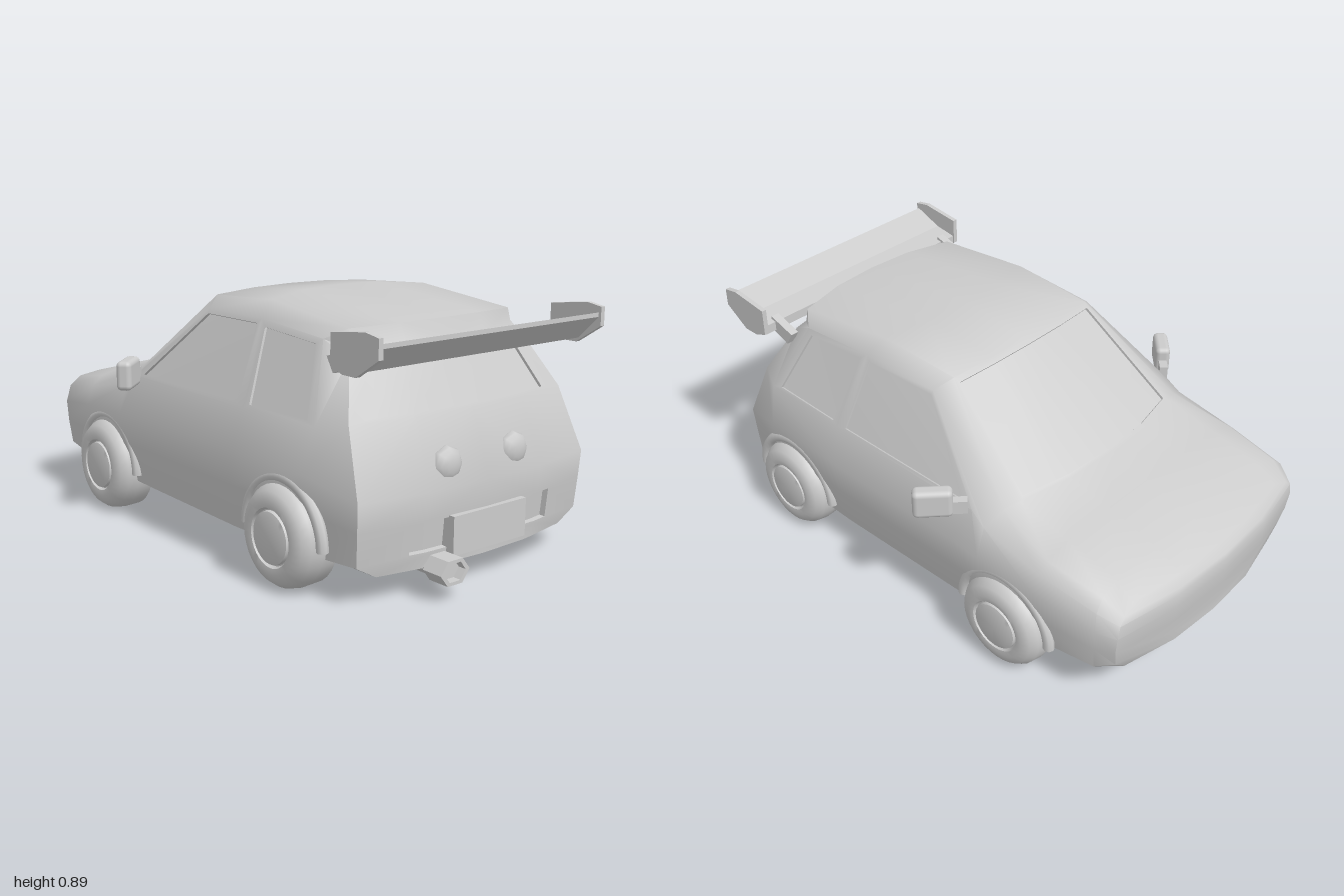
import * as THREE from 'three';
import { toCreasedNormals } from 'three/addons/utils/BufferGeometryUtils.js';
import { RoundedBoxGeometry } from 'three/addons/geometries/RoundedBoxGeometry.js';

const grey = new THREE.MeshStandardMaterial({ color: 0xcccccc });
const V = (x, y, z) => new THREE.Vector3(x, y, z);
const mix = THREE.MathUtils.lerp;

// Stations run from nose (-z) to tail (+z).
// Lower body: floor y, floor z, sill x, then the widest point of the side x, y, z
const LOWER = [
  [.14, -.92, .47, .495, .33, -.94],
  [.135, -.87, .52, .535, .35, -.88],
  [.11, -.65, .535, .565, .38, -.65],
  [.095, -.4, .535, .57, .39, -.4],
  [.09, -.22, .535, .57, .4, -.28],
  [.08, .3, .535, .57, .4, .32],
  [.085, .65, .53, .565, .4, .68],
  [.09, .87, .5, .51, .34, .885],
];
// Upper body: belt x, y, z, roof rail x, y, z, roof edge x, y, z, centre line y, z
const UPPER = [
  [.485, .38, -.94, .46, .4, -.935, .4, .42, -.925, .425, -.965],
  [.52, .415, -.87, .48, .45, -.86, .4, .465, -.85, .475, -.86],
  [.54, .45, -.65, .5, .485, -.65, .4, .51, -.65, .53, -.66],
  [.535, .5, -.4, .46, .545, -.42, .4, .555, -.44, .565, -.5],
  [.53, .54, -.34, .4, .81, -.04, .34, .85, -.08, .862, -.1],
  [.53, .54, .335, .41, .815, .28, .35, .87, .25, .888, .2],
  [.525, .545, .7, .41, .79, .6, .36, .825, .66, .832, .71],
  [.475, .56, .8, .39, .74, .7, .35, .755, .69, .76, .74],
];
const NOSE_BULGE = -.06, TAIL_BULGE = .05;

// Intermediate point between an edge point and the centre line
const halfway = (edge, mid) => V(edge.x / 2, mix(edge.y, mid.y, .8), mix(edge.z, mid.z, .8));

// Half cross-section from the floor centre round the side to the roof centre
function ringOf(station, bulge) {
  const [floorY, floorZ, sillX, sideX, sideY, sideZ] = LOWER[station];
  const u = UPPER[station];
  const keel = V(0, floorY, floorZ + bulge), floorEdge = V(.42, floorY, floorZ);
  const low = V(sideX - .004, mix(floorY, sideY, .63), mix(floorZ, sideZ, .6));
  const roof = V(...u.slice(6, 9)), top = V(0, u[9], u[10]);
  return [keel, halfway(floorEdge, keel), floorEdge, V(sillX, floorY + .045, floorZ), low, V(sideX, sideY, sideZ),
    V(...u.slice(0, 3)), V(...u.slice(3, 6)), roof, halfway(roof, top), top];
}

// Collects mirrored quads into triangle lists
function makeSkin() {
  const lists = { body: [], glass: [] };
  const tri = (list, ...pts) => {
    for (const p of pts) list.push(p.x, p.y, p.z);
    for (const p of pts.reverse()) list.push(-p.x, p.y, p.z);
  };
  const quad = (a, b, c, d, name = 'body') => {
    tri(lists[name], a, b, c);
    tri(lists[name], a, c, d);
  };
  // Quad with a recessed pane; margins run along a-b (u) and a-d (v)
  const pane = (a, b, c, d, [u0, u1, v0, v1], name = 'glass', depth = .009) => {
    const at = (u, v) => a.clone().lerp(b, u).lerp(d.clone().lerp(c, u), v);
    const outer = [a, b, c, d];
    const inner = [at(u0, v0), at(1 - u1, v0), at(1 - u1, 1 - v1), at(u0, 1 - v1)];
    const n = c.clone().sub(a).cross(d.clone().sub(b)).normalize();
    const floor = inner.map(p => p.clone().addScaledVector(n, -depth));
    [v0, u1, v1, u0].forEach((margin, k) => {
      if (!margin) return;
      const m = (k + 1) % 4;
      quad(outer[k], outer[m], inner[m], inner[k]);
      quad(inner[k], inner[m], floor[m], floor[k]);
    });
    quad(...floor, name);
  };
  return { lists, quad, pane };
}

function named(object, name) {
  object.name = name;
  return object;
}

function meshOf(list, name) {
  const g = new THREE.BufferGeometry();
  g.setAttribute('position', new THREE.Float32BufferAttribute(list, 3));
  return named(new THREE.Mesh(toCreasedNormals(g, .75), grey), name);
}

// Rows of [edge, half, centre] closing the nose or the tail
function capRows(ring, bulge) {
  const rows = [[ring[2], ring[1], ring[0]]];
  for (let i = 3; i < 8; i++) {
    const centre = V(0, ring[i].y, ring[i].z + bulge);
    rows.push([ring[i], halfway(ring[i], centre), centre]);
  }
  return [...rows, [ring[8], ring[9], ring[10]]];
}

function buildBody() {
  const skin = makeSkin();
  const rings = LOWER.map((_, s) => ringOf(s, s === 0 ? NOSE_BULGE : s === 7 ? TAIL_BULGE : 0));
  // Recessed windows, keyed by station and profile strip
  const windows = {
    '3,8': [.08, 0, .03, .05], '3,9': [0, 0, .03, .05],
    '4,6': [.04, .06, .06, .06], '5,6': [.05, .08, .08, .1],
  };
  for (let s = 0; s < rings.length - 1; s++) {
    for (let i = 0; i < 10; i++) {
      const q = [rings[s][i], rings[s][i + 1], rings[s + 1][i + 1], rings[s + 1][i]];
      const w = windows[`${s},${i}`];
      if (w) skin.pane(...q, w); else skin.quad(...q);
    }
  }
  const nose = capRows(rings[0], NOSE_BULGE), tail = capRows(rings[7], TAIL_BULGE);
  for (let j = 0; j < 6; j++) {
    for (let k = 0; k < 2; k++) {
      const corners = r => [r[j][k], r[j + 1][k], r[j + 1][k + 1], r[j][k + 1]];
      skin.quad(...corners(nose).reverse());
      const q = corners(tail);
      if (j === 4) skin.pane(...q, [.06, .04, k ? 0 : .4, 0]); // rear window
      else if (j === 1) skin.pane(...q, [.08, .03, k ? 0 : .75, 0], 'body', .02); // bumper recess
      else skin.quad(...q);
    }
  }
  return [meshOf(skin.lists.body, 'body'), meshOf(skin.lists.glass, 'windows')];
}

// Extrudes a (z, y) outline from x0 to x1
function slab(outline, x0, x1, name) {
  const shape = new THREE.Shape(outline.map(p => new THREE.Vector2(...p)));
  const g = new THREE.ExtrudeGeometry(shape, { depth: x1 - x0, bevelEnabled: false });
  g.rotateY(-Math.PI / 2).translate(x1, 0, 0);
  return named(new THREE.Mesh(g, grey), name);
}

function lathe(profile, segments, crease) {
  const g = new THREE.LatheGeometry(profile.map(p => new THREE.Vector2(...p)), segments);
  return toCreasedNormals(g, crease);
}

export function createModel() {
  const car = named(new THREE.Group(), 'hatchback');
  car.add(...buildBody());

  // Wheels with raised hubs, and arch lips around them
  const tyre = lathe([[0, .46], [.15, .46], [.172, .47], [.175, .53], [.168, .57], [.15, .595], [.12, .608], [.098, .605],
    [.092, .592], [.088, .592], [.086, .605], [.07, .61], [0, .612]], 32, .8).rotateZ(-Math.PI / 2);
  const lip = new THREE.TorusGeometry(.195, .02, 8, 24, Math.PI).rotateY(Math.PI / 2);
  for (const [z, end] of [[-.51, 'front'], [.575, 'rear']]) {
    for (const side of [1, -1]) {
      const wheel = named(new THREE.Mesh(tyre, grey), end + 'Wheel');
      wheel.position.set(0, .175, z);
      if (side < 0) wheel.rotation.y = Math.PI;
      const arch = named(new THREE.Mesh(lip, grey), end + 'Arch');
      arch.position.set(side * .55, .17, z);
      car.add(wheel, arch);
    }
  }

  // Rear wing: blade, end plates and struts
  const wing = named(new THREE.Group(), 'rearWing');
  wing.add(slab([[.75, .735], [.8, .72], [.87, .735], [.95, .815], [.95, .83], [.84, .785], [.75, .77]], -.49, .49, 'blade'));
  const plate = [[.745, .74], [.8, .72], [.86, .72], [.96, .785], [.96, .85], [.9, .86], [.745, .84]];
  const strut = [[.66, .75], [.69, .7], [.78, .735], [.77, .785]];
  for (const s of [1, -1]) {
    wing.add(slab(plate, s * .493 - .009, s * .493 + .009, 'endPlate'));
    wing.add(slab(strut, s * .43 - .016, s * .43 + .016, 'strut'));
  }
  car.add(wing);

  // Door mirrors and round tail lamps
  const lampGeometry = new THREE.SphereGeometry(.062, 8, 8).rotateX(Math.PI / 2).scale(1, 1, .6);
  for (const s of [1, -1]) {
    const mirror = named(new THREE.Group(), 'doorMirror');
    const shell = named(new THREE.Mesh(new RoundedBoxGeometry(.135, .105, .055, 3, .018), grey), 'mirrorShell');
    const arm = named(new THREE.Mesh(new THREE.BoxGeometry(.07, .05, .03), grey), 'mirrorArm');
    arm.position.set(-.08, -.02, 0);
    mirror.add(shell, arm);
    mirror.position.set(s * .615, .573, -.245);
    mirror.rotation.y = s > 0 ? -.75 : Math.PI + .75;
    car.add(mirror);

    const lamp = named(new THREE.Mesh(lampGeometry, grey), 'tailLamp');
    lamp.position.set(s * .15, .405, .888);
    car.add(lamp);
  }

  // Number plate panel
  const panel = named(new THREE.Mesh(new THREE.BoxGeometry(.33, .13, .05), grey), 'platePanel');
  panel.position.set(0, .185, .92);
  car.add(panel);

  // Six-sided exhaust with a hollow tip
  const pipe = lathe([[0, .77], [.038, .77], [.038, .91], [.052, .92], [.052, 1], [.038, 1], [.038, .97], [0, .97]], 6, .3);
  pipe.rotateY(Math.PI / 6).rotateX(Math.PI / 2).scale(1.2, .9, 1);
  const exhaust = named(new THREE.Mesh(pipe, grey), 'exhaust');
  exhaust.position.set(-.21, .095, 0);
  car.add(exhaust);

  return car;
}
